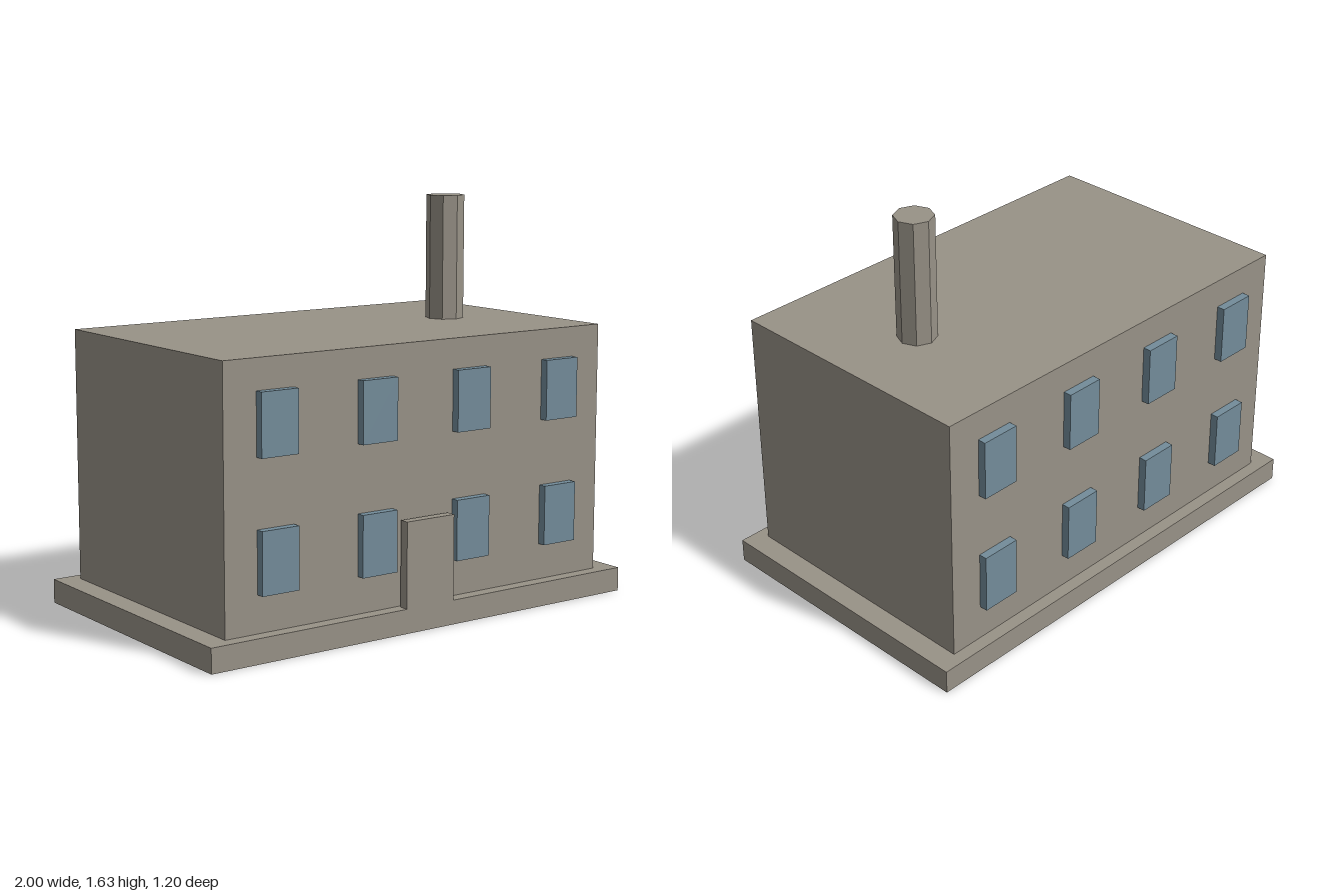
import * as THREE from 'three';

export function createModel() {
  const model = new THREE.Group();
  model.name = 'building';

  const stone = new THREE.MeshStandardMaterial({ color: 0x989287 });
  stone.name = 'warm grey stone';
  const glass = new THREE.MeshStandardMaterial({ color: 0x738c9a });
  glass.name = 'blue grey glass';

  // Box given by its size and the position of its bottom centre
  function addBox(name, material, w, h, d, x, y, z, parent = model) {
    const mesh = new THREE.Mesh(new THREE.BoxGeometry(w, h, d), material);
    mesh.name = name;
    mesh.position.set(x, y + h / 2, z);
    parent.add(mesh);
    return mesh;
  }

  // Plinth, main block and the door standing just clear of the wall
  addBox('plinth', stone, 2, 0.098, 1.204, 0, 0, 0);
  addBox('mainBlock', stone, 1.814, 1.024, 1.096, 0, 0.098, 0);
  addBox('door', stone, 0.23, 0.343, 0.04, 0, 0.098, 0.582);

  // Octagonal chimney
  const chimneyHeight = 0.513;
  const stack = new THREE.CylinderGeometry(0.079, 0.079, chimneyHeight, 8).toNonIndexed();
  stack.computeVertexNormals();
  const chimney = new THREE.Mesh(stack, stone);
  chimney.name = 'chimney';
  chimney.position.set(0.543, 1.122 + chimneyHeight / 2, 0);
  model.add(chimney);

  // Two rows of four windows on the front and back walls
  const windows = new THREE.Group();
  windows.name = 'windows';
  model.add(windows);
  for (const side of [1, -1]) {
    for (const y of [0.245, 0.757]) {
      for (const x of [-0.683, -0.228, 0.228, 0.683]) {
        addBox(side > 0 ? 'frontWindow' : 'backWindow', glass,
          0.163, 0.244, 0.034, x, y, side * 0.565, windows);
      }
    }
  }

  return model;
}
